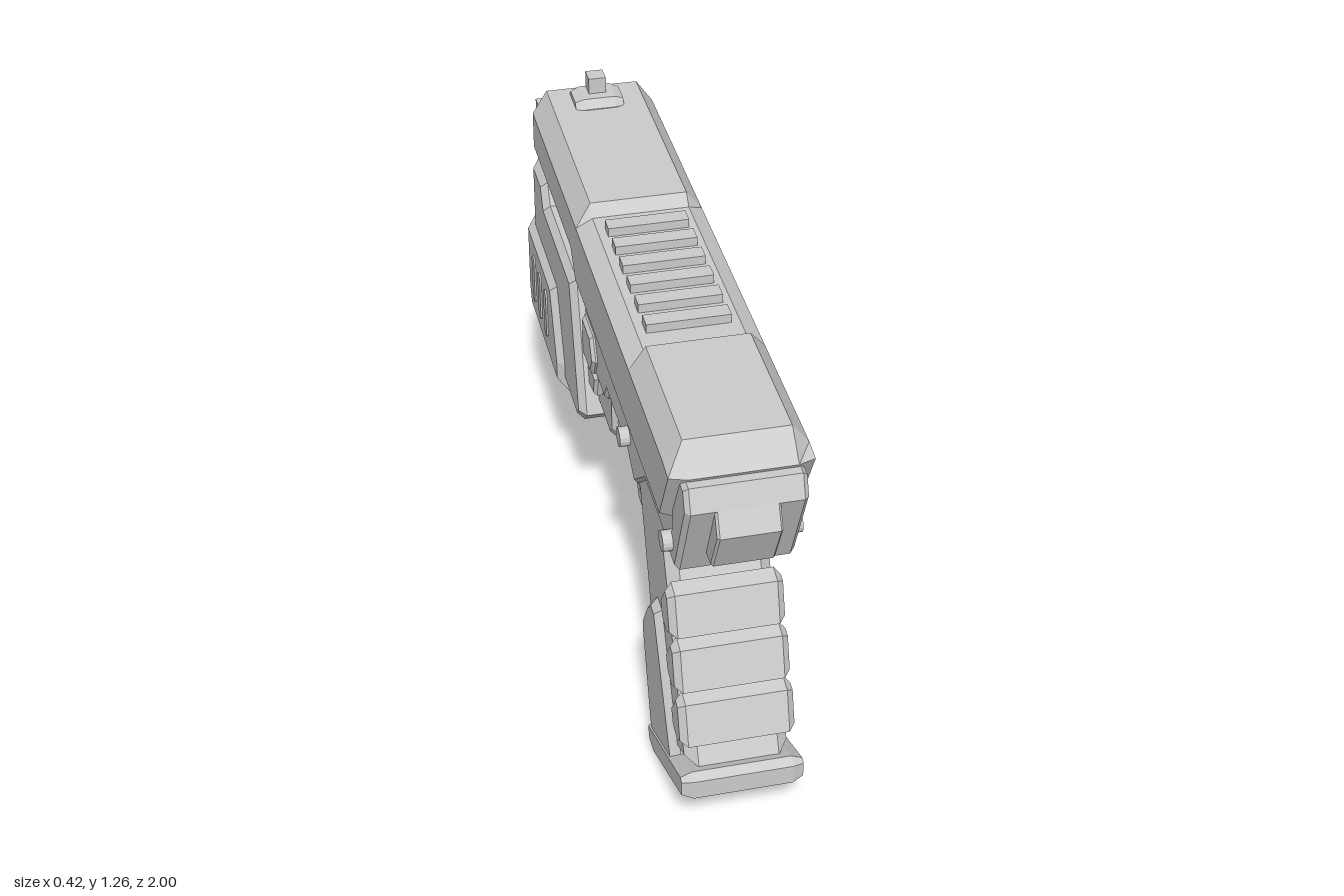
import * as THREE from 'three';

const material = new THREE.MeshStandardMaterial({ color: 0xcccccc, flatShading: true });

export function createModel() {
  const model = new THREE.Group();

  const add = (name, geometry) => {
    const mesh = new THREE.Mesh(geometry, material);
    mesh.name = name;
    model.add(mesh);
    return mesh;
  };

  // Side profile of [z, y] points, extruded across x with chamfered edges.
  // chamferX is the chamfer across the width, chamfer the one in the profile.
  const slab = (points, halfWidth, chamfer = 0.02, chamferX = chamfer, centreX = 0) => {
    const shape = new THREE.Shape(points.map(([z, y]) => new THREE.Vector2(z, y)));
    const depth = 2 * (halfWidth - chamferX);
    const g = new THREE.ExtrudeGeometry(shape, {
      depth, steps: 1, bevelEnabled: chamfer > 0, bevelSegments: 1,
      bevelSize: chamfer, bevelThickness: chamferX, bevelOffset: -chamfer,
    });
    g.translate(0, 0, -depth / 2);
    g.rotateY(-Math.PI / 2);
    g.translate(centreX, 0, 0);
    return g;
  };

  // Slide, with its upper edges cut back to one long chamfer line
  const slide = slab([
    [0.85, 1.195], [0.46, 1.195], [0.43, 1.165], [-0.2, 1.165], [-0.23, 1.195], [-0.87, 1.195],
    [-0.87, 1.01], [-0.3, 1.01], [-0.24, 0.94], [0.82, 0.94], [0.92, 1.13],
  ], 0.178, 0.015, 0.045);
  const p = slide.attributes.position;
  for (let i = 0; i < p.count; i++) {
    if (Math.abs(p.getX(i)) > 0.17) p.setY(i, Math.min(p.getY(i), 1.135));
  }
  slide.computeVertexNormals();
  add('slide', slide);

  // Ribs across the top of the slide
  for (let i = 0; i < 6; i++) {
    add('topRib', new THREE.BoxGeometry(0.22, 0.04, 0.046)).position.set(0, 1.17, 0.34 - i * 0.0925);
  }

  // Sight
  add('sightBase', slab([[-0.73, 1.18], [-0.73, 1.197], [-0.75, 1.22], [-0.83, 1.22], [-0.85, 1.197], [-0.85, 1.18]], 0.07, 0.01, 0.025));
  add('sightPost', new THREE.BoxGeometry(0.05, 0.06, 0.05)).position.set(0, 1.237, -0.805);

  // Frame and its raised side strip
  add('frame', slab([
    [0.88, 1.1], [0.88, 0.9], [0.82, 0.81], [0.5, 0.81], [0.37, 0.7], [0.28, 0.75], [0.02, 0.75],
    [-0.01, 0.7], [-0.3, 0.7], [-0.86, 0.7], [-0.86, 1.1],
  ], 0.145, 0.01));
  add('sideStrip', slab([[0.77, 0.96], [0.67, 0.878], [-0.16, 0.878], [-0.2, 0.96]], 0.158, 0.006));
  add('underRail', slab([[0, 0.76], [0, 0.59], [-0.035, 0.552], [-0.25, 0.552], [-0.25, 0.76]], 0.125, 0.015));

  // Small plates ahead of the trigger guard
  add('upperSidePlate', slab([[-0.1, 0.76], [-0.135, 0.825], [-0.25, 0.825], [-0.25, 0.7], [-0.135, 0.7]], 0.16, 0.01));
  add('lowerSidePlate', slab([[-0.12, 0.69], [-0.25, 0.69], [-0.25, 0.605], [-0.14, 0.62]], 0.15, 0.01));

  // Rear cap with its projecting block
  add('rearCap', slab([[0.84, 1.12], [0.94, 1.12], [0.965, 1.06], [0.86, 0.81], [0.8, 0.81]], 0.15, 0.012));
  add('rearBlock', slab([[0.88, 1.06], [0.965, 1.06], [0.995, 1.0], [0.935, 0.87], [0.85, 0.87]], 0.08, 0.006));

  // Front housing below the slide and its wide outer cover
  add('frontHousing', slab([
    [-0.29, 0.915], [-0.69, 0.915], [-0.725, 0.975], [-0.87, 0.975], [-0.87, 0.485],
    [-0.22, 0.485], [-0.18, 0.525],
  ], 0.183, 0.02));
  add('frontCover', slab([
    [-0.495, 0.77], [-0.895, 0.77], [-0.895, 0.53], [-0.865, 0.458], [-0.4, 0.458], [-0.4, 0.55],
  ], 0.203, 0.03));

  // Three upright vents on each side of the cover
  for (const side of [-1, 1]) {
    for (const z of [-0.58, -0.675, -0.77]) {
      const vent = [];
      for (let i = 0; i < 12; i++) {
        const a = (i + 0.5) * Math.PI / 6;
        vent.push([z + 0.02 * Math.cos(a), 0.62 + 0.02 * Math.sin(a) + 0.06 * Math.sign(Math.sin(a))]);
      }
      add('vent', slab(vent, 0.006, 0, 0, side * 0.202));
    }
  }

  // Muzzle: rectangular loops run out over the rim and back into the recess
  // [half width, bottom y, top y, bottom z, top z]
  const loops = [
    [0.15, 0.83, 1.12, -0.85, -0.85], [0.15, 0.835, 1.12, -0.935, -0.965],
    [0.115, 0.85, 1.075, -0.948, -0.998], [0.1, 0.87, 1.05, -0.952, -0.992],
    [0.065, 0.91, 1.01, -0.88, -0.89], [0.0, 0.96, 0.96, -0.885, -0.885],
  ];
  const verts = [], faces = [];
  loops.forEach(([w, y0, y1, z0, z1], k) => {
    verts.push(-w, y0, z0, w, y0, z0, w, y1, z1, -w, y1, z1);
    if (k === 0) return;
    for (let i = 0; i < 4; i++) {
      const a = (k - 1) * 4 + i, b = (k - 1) * 4 + (i + 1) % 4;
      faces.push(a, a + 4, b, b, a + 4, b + 4);
    }
  });
  const muzzle = new THREE.BufferGeometry();
  muzzle.setAttribute('position', new THREE.Float32BufferAttribute(verts, 3));
  muzzle.setIndex(faces);
  const flatMuzzle = muzzle.toNonIndexed();
  flatMuzzle.computeVertexNormals();
  add('muzzle', flatMuzzle);

  // Trigger and guard
  add('triggerGuard', slab([
    [0.45, 0.5], [0.17, 0.415], [0.08, 0.415], [0.01, 0.51], [0, 0.73],
    [0.055, 0.73], [0.065, 0.52], [0.1, 0.447], [0.17, 0.447], [0.45, 0.53],
  ], 0.07, 0));
  add('trigger', slab([[0.31, 0.76], [0.27, 0.76], [0.285, 0.62], [0.21, 0.49], [0.275, 0.56], [0.32, 0.645]], 0.03, 0));

  // Grip core, lower front panel and base plate
  add('gripCore', slab([
    [0.81, 0.84], [0.7, 0.715], [0.95, 0.22], [0.62, 0.06], [0.56, 0.2], [0.47, 0.46], [0.37, 0.7], [0.37, 0.84],
  ], 0.135, 0.03));
  add('gripPanel', slab([
    [0.66, 0.51], [0.6, 0.51], [0.545, 0.45], [0.49, 0.355], [0.49, 0.32], [0.585, 0.06], [0.62, 0.03], [0.87, 0.15],
  ], 0.155, 0.025));
  add('gripBase', slab([
    [0.975, 0.235], [1, 0.222], [1, 0.165], [0.665, 0.003], [0.605, 0.003], [0.585, 0.055],
  ], 0.16, 0.012, 0.03));

  // Bands wrapped around the back of the grip
  for (let i = 0; i < 3; i++) {
    const dz = i * 0.062, dy = i * -0.129;
    add('gripBand', slab([
      [0.785, 0.66], [0.74, 0.67], [0.685, 0.585], [0.71, 0.53], [0.77, 0.515], [0.822, 0.55],
    ].map(([z, y]) => [z + dz, y + dy]), 0.15, 0.018));
  }

  // Pin through the rear of the frame, and a button on the right side only
  const pin = (name, length, radius, x, y, z) =>
    add(name, new THREE.CylinderGeometry(radius, radius, length, 16).rotateZ(Math.PI / 2)).position.set(x, y, z);
  pin('rearPin', 0.35, 0.027, 0, 0.87, 0.815);
  pin('releaseButton', 0.05, 0.027, -0.147, 0.805, 0.3);

  return model;
}
